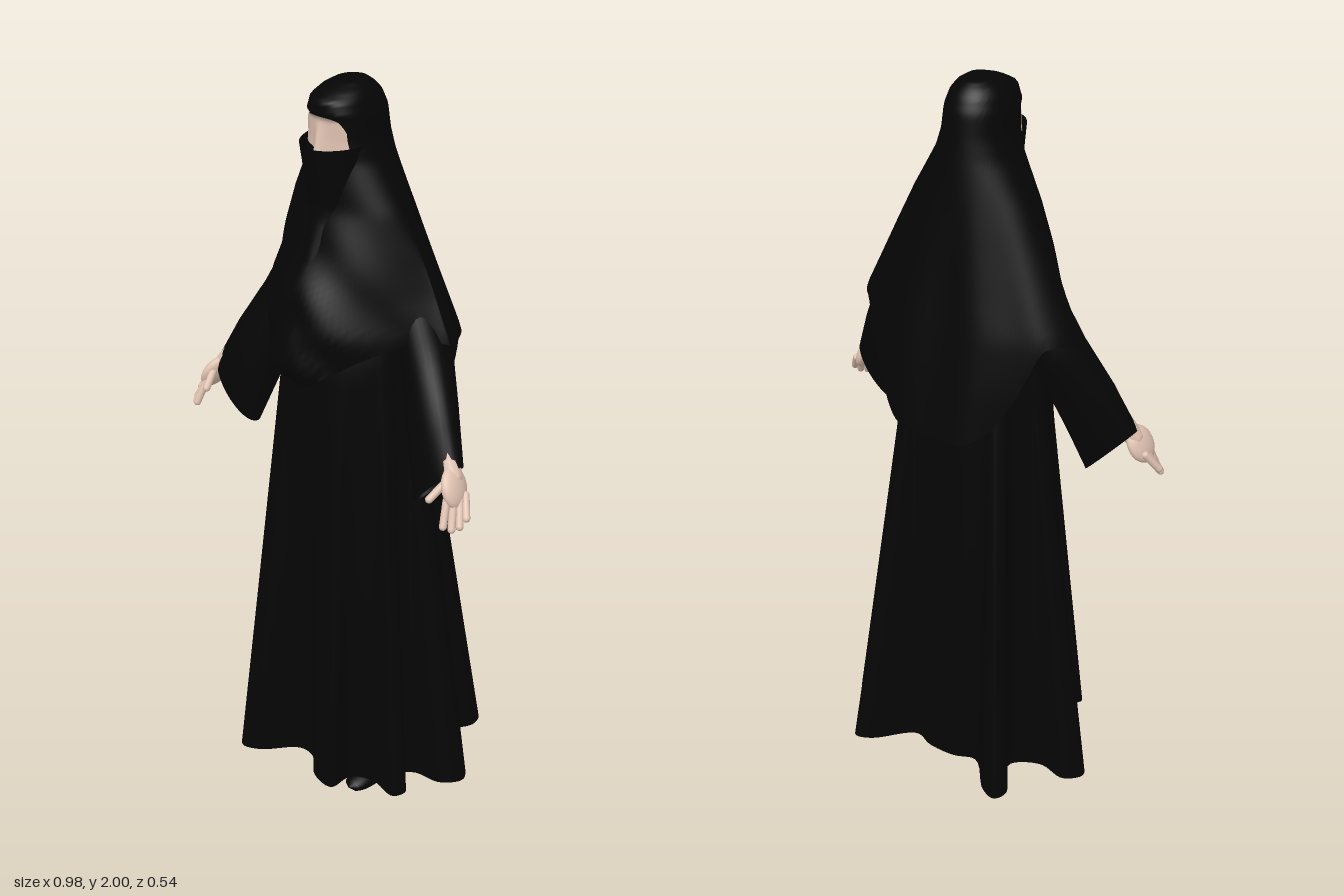
import * as THREE from 'three';

const fabric = new THREE.MeshStandardMaterial({ color: 0x050505, side: THREE.DoubleSide });
fabric.name = 'black fabric';
const skin = new THREE.MeshStandardMaterial({ color: 0xe0c3b2, side: THREE.DoubleSide });
skin.name = 'skin';

const { sin, cos, PI, abs, pow, max, min, sqrt, exp } = Math;
const V = (x, y, z) => new THREE.Vector3(x, y, z);

// Smooth surface from a rule point(u, v), optionally closed in u
function loft(point, nu, nv, closed = true) {
  const pos = [], idx = [], cols = closed ? nu : nu + 1;
  for (let j = 0; j <= nv; j++)
    for (let i = 0; i < cols; i++) pos.push(...point(i / nu, j / nv));
  for (let j = 0; j < nv; j++)
    for (let i = 0; i < nu; i++) {
      const a = j * cols + i, c = j * cols + (i + 1) % cols;
      idx.push(a, a + cols, c, c, a + cols, c + cols);
    }
  const g = new THREE.BufferGeometry();
  g.setAttribute('position', new THREE.Float32BufferAttribute(pos, 3));
  g.setIndex(idx);
  g.computeVertexNormals();
  return g;
}

// Linear lookup in rows [key, ...values], keys ascending
function lookup(rows, key) {
  let i = 0;
  while (i < rows.length - 2 && key > rows[i + 1][0]) i++;
  const a = rows[i], b = rows[i + 1];
  const t = min(1, max(0, (key - a[0]) / (b[0] - a[0])));
  return a.slice(1).map((v, k) => v + (b[k + 1] - v) * t);
}

function add(parent, name, geometry, material) {
  const m = new THREE.Mesh(geometry, material);
  m.name = name;
  parent.add(m);
  return m;
}

// Veil: drop below the crown, half width, front z, back z, front and back roundness
const VEIL = [
  [0, 0, .01, .01, 1, 1], [.004, .035, .05, -.03, 1, 1], [.018, .058, .088, -.05, .9, 1],
  [.036, .072, .122, -.066, .8, 1], [.068, .083, .124, -.08, .7, 1], [.08, .085, .112, -.082, .7, 1],
  [.13, .09, .11, -.088, .8, 1], [.18, .106, .11, -.095, 1, 1], [.3, .172, .118, -.113, 1.1, 1],
  [.4, .22, .155, -.13, 1.7, 1], [.5, .265, .2, -.148, 2.4, .95], [.6, .312, .235, -.168, 2.9, .9],
  [.7, .312, .238, -.187, 2.9, .9], [.75, .308, .205, -.196, 2.9, .9], [.88, .29, .2, -.217, 2.9, .9],
];
function veilPoint(a, y, out = 0) {
  const [w, zf, zb, pf, pb] = lookup(VEIL, 2 - y);
  const zc = .02 - .03 * min(1, (2 - y) / .5);
  const c = cos(a), s = sin(a), low = min(1, max(0, (1.75 - y) / .3));
  const fold = low * (c > 0 ? .007 * sin(34 * (y + .8 * abs(w * s) * (1 + .3 * s))) * c : .005 * cos(9 * a) * c);
  const z = c > 0 ? (zf - zc + out) * pow(c, pf) : (zb - zc - out) * pow(-c, pb);
  return [(w + out) * s, y, zc + z + fold];
}
// Pointed front, broad low tail at the back
function veilHem(a) {
  const c = cos(a);
  return c > 0 ? 1.395 - .145 * pow(c, 8) + .006 * sin(7 * a) * c
    : 1.395 - .275 * THREE.MathUtils.smoothstep(-c, .5, .98);
}

// Skirt hem outline with deep folds, [x, z] from the front towards +x
const HEM = [
  [0, .17], [.06, .22], [.13, .225], [.14, .16], [.2, .13], [.28, .138], [.295, .1], [.23, .07],
  [.26, .03], [.34, .012], [.38, -.04], [.34, -.085], [.26, -.07], [.19, -.12], [.25, -.23],
  [.235, -.27], [.19, -.255], [.1, -.16], [.04, -.18], [-.04, -.18], [-.1, -.16], [-.19, -.255],
  [-.235, -.27], [-.25, -.23], [-.19, -.12], [-.26, -.07], [-.34, -.085], [-.38, -.04],
  [-.34, .012], [-.25, .03], [-.22, .08], [-.21, .16], [-.14, .165], [-.2, .25], [-.18, .27],
  [-.13, .25], [-.05, .17],
];

// Sleeve rings: t, upper x y, lower x y, z, half depth
const SLEEVE = [
  [0, .12, 1.66, .1, 1.45, -.02, .07], [.25, .225, 1.53, .165, 1.36, -.02, .07],
  [.5, .302, 1.385, .2, 1.27, 0, .07], [.75, .37, 1.262, .245, 1.13, .04, .062],
  [1, .43, 1.135, .292, .983, .075, .048],
];

// Rounded limb between two points
function limb(parent, name, a, b, r, material) {
  const m = add(parent, name, new THREE.CapsuleGeometry(r, a.distanceTo(b), 5, 10), material);
  m.position.copy(a).lerp(b, .5);
  m.quaternion.setFromUnitVectors(V(0, 1, 0), b.clone().sub(a).normalize());
}

export function createModel() {
  const model = new THREE.Group();
  model.name = 'veiledWoman';

  // Dress: oval body flaring into the folded hem
  const hem = new THREE.CatmullRomCurve3(HEM.map(([x, z]) => V(x, 0, z)), true);
  const hemPts = hem.getPoints(220);
  add(model, 'dress', loft((u, v) => {
    const p = hemPts[Math.round(u * 220)], a = Math.atan2(p.x, p.z);
    const end = .06 - .06 * p.z, y = 1.56 + (end - 1.56) * v;
    const t = max(0, (1.32 - y) / (1.32 - end));
    const k = y > 1.32 ? 1 - 1.5 * (y - 1.32) : 1;
    const x0 = .19 * k * sin(a), z0 = (cos(a) > 0 ? .17 : .135) * k * cos(a);
    return [x0 + (p.x - x0) * t, y, z0 + (p.z - z0) * t];
  }, 220, 30), fabric);

  // Hood and shoulder veil in one sheet
  add(model, 'veil', loft((u, v) => {
    const a = u * 2 * PI;
    return veilPoint(a, 2 - (2 - veilHem(a)) * pow(v, 1.7));
  }, 128, 56), fabric);

  // Strip of face around the eyes, with the bridge of the nose
  add(model, 'face', loft((u, v) => {
    const k = u * 2 - 1, top = 1.93 - .035 * pow(k, 4);
    const p = veilPoint(k * .78, top + (1.845 - top) * v, .004);
    p[2] += .02 * v * exp(-k * k * 22);
    return p;
  }, 32, 12, false), skin);

  // Face veil hanging from the nose
  add(model, 'faceVeil', loft((u, v) => {
    const a = (u * 2 - 1) * 1.5, y = 1.859 - .3 * v;
    const [w, z] = lookup([[0, .087, .16], [.55, .082, .128], [1, .06, .172]], v);
    return [w * sin(a), y, .03 + (z - .03) * cos(a)];
  }, 32, 12, false), fabric);

  for (const s of [1, -1]) {
    const side = s > 0 ? 'left' : 'right';
    const P = (x, y, z) => V(x * s, y, z);

    // Wide sleeve
    add(model, side + 'Sleeve', loft((u, v) => {
      const [x1, y1, x2, y2, z, d] = lookup(SLEEVE, v), c = cos(u * 2 * PI);
      return [s * ((x1 + x2) / 2 + (x1 - x2) / 2 * c), (y1 + y2) / 2 + (y1 - y2) / 2 * c,
        z + d * sin(u * 2 * PI)];
    }, 32, 16), fabric);

    // Hand
    const hand = new THREE.Group();
    hand.name = side + 'Hand';
    model.add(hand);
    limb(hand, 'wrist', P(.36, 1.2, .06), P(.417, 1.11, .085), .025, skin);
    const palm = add(hand, 'palm', new THREE.SphereGeometry(1, 20, 14), skin);
    palm.scale.set(.021, .053, .043);
    palm.position.copy(P(.431, 1.09, .096));
    palm.rotation.set(-.3, 0, s * .45);
    const fingers = [
      ['indexFinger', [.436, 1.068, .128], [.448, 1.01, .152]],
      ['middleFinger', [.445, 1.062, .113], [.465, 1.004, .14]],
      ['ringFinger', [.452, 1.064, .097], [.477, 1.01, .124]],
      ['littleFinger', [.455, 1.072, .08], [.482, 1.028, .106]],
      ['thumb', [.418, 1.105, .115], [.404, 1.07, .155]],
    ];
    for (const [name, a, b] of fingers) limb(hand, name, P(...a), P(...b), .01, skin);

    // Leg and shoe
    limb(model, side + 'Leg', P(.1, .8, 0), P(.135, .07, -.01), .035, fabric);
    add(model, side + 'Shoe', loft((u, v) => {
      const a = u * 2 * PI, r = sqrt(max(0, 1 - pow(v * 2 - 1, 4)));
      const h = .065 - .03 * v;
      return [s * .138 + .038 * r * cos(a), max(0, h * .35 + h * .65 * r * sin(a)), -.055 + .22 * v];
    }, 24, 16), fabric);
  }
  return model;
}
